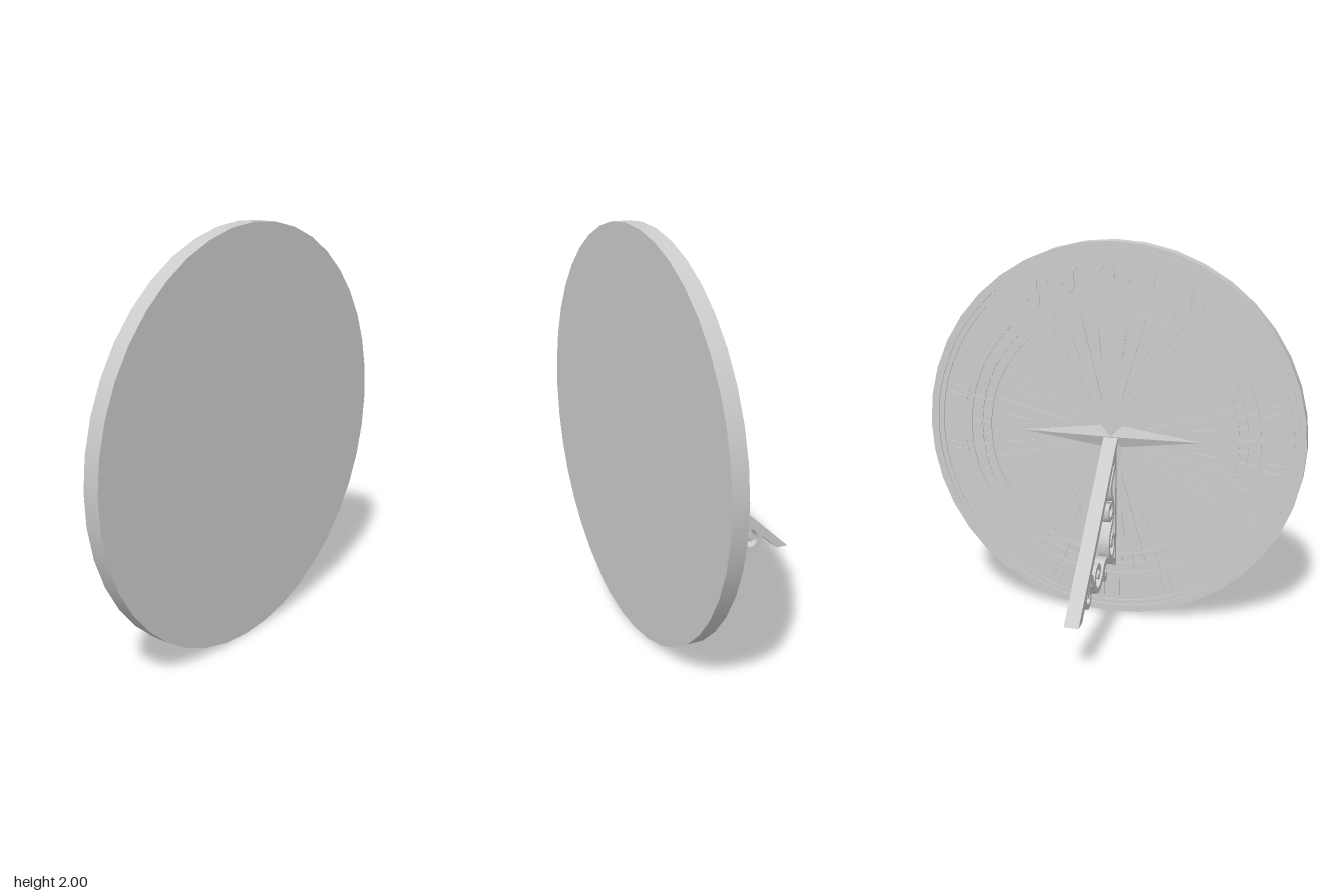
import * as THREE from 'three';

const grey = new THREE.MeshStandardMaterial({ color: 0xcccccc });
const rad = THREE.MathUtils.degToRad;
const FACE = 0.35, RELIEF = 0.343; // dial surface and top of the raised work (faces -z)

function add(parent, name, geometry, material = grey) {
  const mesh = new THREE.Mesh(geometry, material);
  mesh.name = name;
  parent.add(mesh);
  return mesh;
}

// Raised flat work on the dial, drawn around the dial centre
function relief(parent, name, shapes) {
  const geometry = new THREE.ExtrudeGeometry(shapes, { depth: 0.01, bevelEnabled: false, curveSegments: 64 });
  return add(parent, name, geometry.translate(0, 1, RELIEF));
}

// Part of a flat ring between two angles in degrees
function arcBand(r0, r1, from, to) {
  const s = new THREE.Shape();
  s.absarc(0, 0, r1, rad(from), rad(to), false);
  s.absarc(0, 0, r0, rad(to), rad(from), true);
  return s;
}

// Radial bar, with its own width at each end; shift moves it sideways
function spoke(angle, r0, r1, w0, w1 = w0, shift = 0) {
  const a = rad(angle);
  const corners = [[r0, -w0 / 2], [r1, -w1 / 2], [r1, w1 / 2], [r0, w0 / 2]];
  return new THREE.Shape(corners.map(([r, t]) => new THREE.Vector2(
    r * Math.cos(a) - (t + shift) * Math.sin(a),
    r * Math.sin(a) + (t + shift) * Math.cos(a))));
}

// Ribbon of tapering width that follows a smooth line
function ribbon(points, w0, w1, steps = 60) {
  const curve = new THREE.SplineCurve(points.map(p => new THREE.Vector2(...p)));
  const left = [], right = [];
  for (let i = 0; i <= steps; i++) {
    const t = i / steps, p = curve.getPoint(t), d = curve.getTangent(t);
    const h = THREE.MathUtils.lerp(w0, w1, t) / 2;
    left.push(new THREE.Vector2(p.x - d.y * h, p.y + d.x * h));
    right.unshift(new THREE.Vector2(p.x + d.y * h, p.y - d.x * h));
  }
  return new THREE.Shape([...left, ...right]);
}

// Upright slab from a side profile given as (-z, y), centred on x = 0
function sideSlab(parent, name, shape, width) {
  const geometry = new THREE.ExtrudeGeometry(shape, { depth: width, bevelEnabled: false });
  return add(parent, name, geometry.translate(0, 0, -width / 2).rotateY(Math.PI / 2));
}

// Four-pointed faceted star, raised at its centre
function starGeometry(tip, notch) {
  const pos = [];
  const corner = i => {
    const r = i % 2 ? notch : tip, a = i * Math.PI / 4;
    return [r * Math.cos(a), 1 + r * Math.sin(a), i % 2 ? FACE : 0.346];
  };
  for (let i = 0; i < 8; i++) pos.push(0, 1, 0.329, ...corner(i + 1), ...corner(i));
  const g = new THREE.BufferGeometry();
  g.setAttribute('position', new THREE.Float32BufferAttribute(pos, 3));
  g.computeVertexNormals();
  return g;
}

function createDial() {
  const dial = new THREE.Group();
  dial.name = 'dial';

  const disc = add(dial, 'disc', new THREE.CylinderGeometry(1, 1, 0.08, 40).rotateX(Math.PI / 2));
  disc.position.set(0, 1, 0.39);

  // Rim lines and the borders of the hour band, open at the top
  relief(dial, 'rimLine', arcBand(0.955, 0.97, 0, 359.9));
  relief(dial, 'hourBandBorder', [
    arcBand(0.925, 0.937, 134, 406), arcBand(0.765, 0.777, 134, 406),
    spoke(46, 0.777, 0.925, 0.014), spoke(134, 0.777, 0.925, 0.014),
  ]);

  // Minute scale: rings crossed by ticks, leaving a gap at the top
  relief(dial, 'scaleRings', [arcBand(0.655, 0.665, 98, 442), arcBand(0.705, 0.713, 110, 430)]);
  const hourStep = 20.5, ticks = [];
  for (let i = -30; i <= 30; i++) {
    const a = -90 + i * hourStep / 4;
    if (i % 4) ticks.push(spoke(a, 0.665, i % 2 ? 0.705 : 0.75, 0.007));
    else ticks.push(spoke(a, 0.665, 0.765, 0.012));
  }
  relief(dial, 'scaleTicks', ticks);

  // Plain hour marks: pairs of bars, three bars at noon
  const marks = [];
  for (let h = -6; h <= 6; h++) {
    const shifts = h === 0 ? [-0.04, 0, 0.04] : [-0.022, 0.022];
    for (const s of shifts) marks.push(spoke(-90 + h * hourStep, 0.8, 0.9, 0.018, 0.018, s));
  }
  relief(dial, 'hourMarks', marks);

  // Sun rays that widen outwards
  const rays = [];
  for (let i = 0; i < 48; i++) {
    const a = i * 7.5;
    if (i % 12 === 0) continue;
    rays.push(i % 2 ? spoke(a, 0.42, 0.56, 0.004, 0.007) : spoke(a, 0.2, 0.645, 0.004, 0.016));
  }
  relief(dial, 'sunRays', rays);

  // Small lozenges beyond the star points
  relief(dial, 'pointMarks', [0, 90, 180].map(a => {
    const c = new THREE.Vector2(0.6 * Math.cos(rad(a)), 0.6 * Math.sin(rad(a)));
    return new THREE.Shape([[0.03, 0], [0, 0.03], [-0.03, 0], [0, -0.03]]
      .map(([x, y]) => new THREE.Vector2(c.x + x, c.y + y)));
  }));

  // Plain scroll ornament along the top
  const curls = [];
  for (let i = -2; i <= 2; i++) {
    const a = rad(90 + i * 14), side = i < 0 ? -1 : 1;
    const line = [[-0.07, 0.02], [-0.04, 0.06], [0, 0.03], [0.01, -0.03], [0.05, -0.06], [0.08, -0.02], [0.055, 0.005]];
    curls.push(ribbon(line.map(([t, r]) => [
      (0.83 + r) * Math.cos(a) - side * t * Math.sin(a),
      (0.83 + r) * Math.sin(a) + side * t * Math.cos(a)]), 0.016, 0.022, 30));
  }
  relief(dial, 'topScrolls', curls);

  add(dial, 'compassStar', starGeometry(0.48, 0.08));
  return dial;
}

function createGnomon() {
  const gnomon = new THREE.Group();
  gnomon.name = 'gnomon';
  const poly = pts => new THREE.Shape(pts.map(p => new THREE.Vector2(...p)));

  // Slanted shadow bar, cut level at its foot, and the strip on the dial
  sideSlab(gnomon, 'shadowBar', poly([[-0.345, 1.0], [-0.335, 0.955], [0.365, 0.28], [0.43, 0.28], [-0.335, 1.0]]), 0.074);
  sideSlab(gnomon, 'mountingStrip', poly([[-0.355, 0.28], [-0.32, 0.28], [-0.32, 0.98], [-0.355, 0.98]]), 0.06);

  // Scrollwork bracket
  const scrolls = [
    [[-0.30, 0.87], [-0.287, 0.885], [-0.30, 0.905], [-0.32, 0.89], [-0.315, 0.85], [-0.28, 0.81], [-0.245, 0.77],
      [-0.25, 0.71], [-0.28, 0.66], [-0.27, 0.61], [-0.235, 0.585], [-0.195, 0.60], [-0.19, 0.645], [-0.215, 0.665], [-0.235, 0.645]],
    [[-0.265, 0.68], [-0.29, 0.62], [-0.275, 0.56], [-0.23, 0.52], [-0.20, 0.46], [-0.21, 0.39], [-0.26, 0.36],
      [-0.305, 0.39], [-0.31, 0.45], [-0.28, 0.475], [-0.25, 0.45], [-0.265, 0.42]],
    [[-0.32, 0.31], [-0.25, 0.34], [-0.18, 0.375], [-0.12, 0.38], [-0.09, 0.34], [-0.11, 0.297], [-0.14, 0.305], [-0.135, 0.33]],
    [[-0.17, 0.38], [-0.11, 0.385], [-0.06, 0.335], [0, 0.30], [0.06, 0.31], [0.09, 0.36], [0.07, 0.415],
      [0.02, 0.43], [-0.01, 0.40], [0.01, 0.365], [0.035, 0.38]],
    [[0.08, 0.34], [0.12, 0.365], [0.15, 0.42], [0.21, 0.43], [0.26, 0.39], [0.265, 0.33], [0.22, 0.297],
      [0.18, 0.315], [0.18, 0.36], [0.21, 0.37], [0.225, 0.345]],
  ];
  for (const line of scrolls) sideSlab(gnomon, 'bracketScroll', ribbon(line, 0.034, 0.022), 0.06);
  return gnomon;
}

export function createModel() {
  const model = new THREE.Group();
  model.name = 'sundial';
  model.add(createDial(), createGnomon());
  return model;
}
